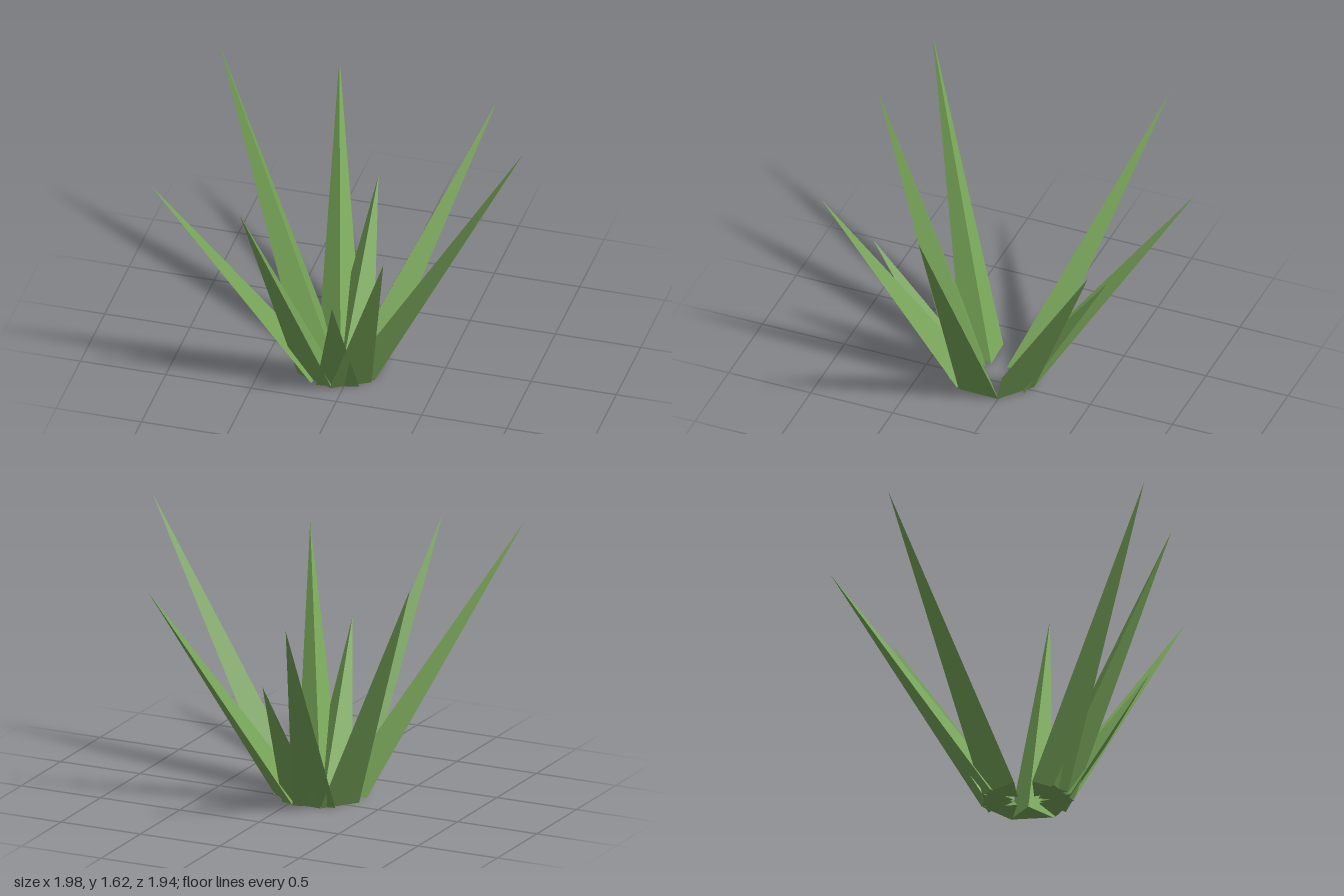
import * as THREE from 'three';

// Blade tips [x, y, z], going around the clump
const TIPS = [
  [0.99, 1.62, 0.14],
  [0.59, 1.35, -0.73],
  [-0.06, 0.83, -0.58],
  [-0.40, 1.32, -0.97],
  [-0.99, 1.54, -0.58],
  [-0.99, 1.53, 0.87],
  [-0.43, 1.48, 0.97],
  [0.06, 0.83, 0.80],
  [0.41, 1.30, 0.97],
];

const CENTRE = new THREE.Vector3(-0.085, 0, 0.115);
const INNER = 0.075, OUTER = 0.235, HALF_WIDTH = 0.122;

// Leaning three-sided spike: flat outer face, ridge towards the middle
function bladeGeometry(tip) {
  const out = new THREE.Vector3(tip.x - CENTRE.x, 0, tip.z - CENTRE.z).normalize();
  const side = new THREE.Vector3(-out.z, 0, out.x);
  const at = (r, s) => CENTRE.clone().addScaledVector(out, r).addScaledVector(side, s);
  const ridge = at(INNER, 0);
  const a = at(OUTER, HALF_WIDTH);
  const b = at(OUTER, -HALF_WIDTH);
  const geometry = new THREE.BufferGeometry().setFromPoints([
    a, b, tip, // outer face
    b, ridge, tip, // inner faces
    ridge, a, tip,
    ridge, b, a, // underside
  ]);
  geometry.computeVertexNormals();
  return geometry;
}

export function createModel() {
  const plant = new THREE.Group();
  plant.name = 'spikyPlant';
  const leafGreen = new THREE.MeshStandardMaterial({ color: 0x78a659 });
  leafGreen.name = 'leafGreen';

  TIPS.forEach((tip, i) => {
    const blade = new THREE.Mesh(bladeGeometry(new THREE.Vector3(...tip)), leafGreen);
    blade.name = `blade${i + 1}`;
    plant.add(blade);
  });
  return plant;
}
